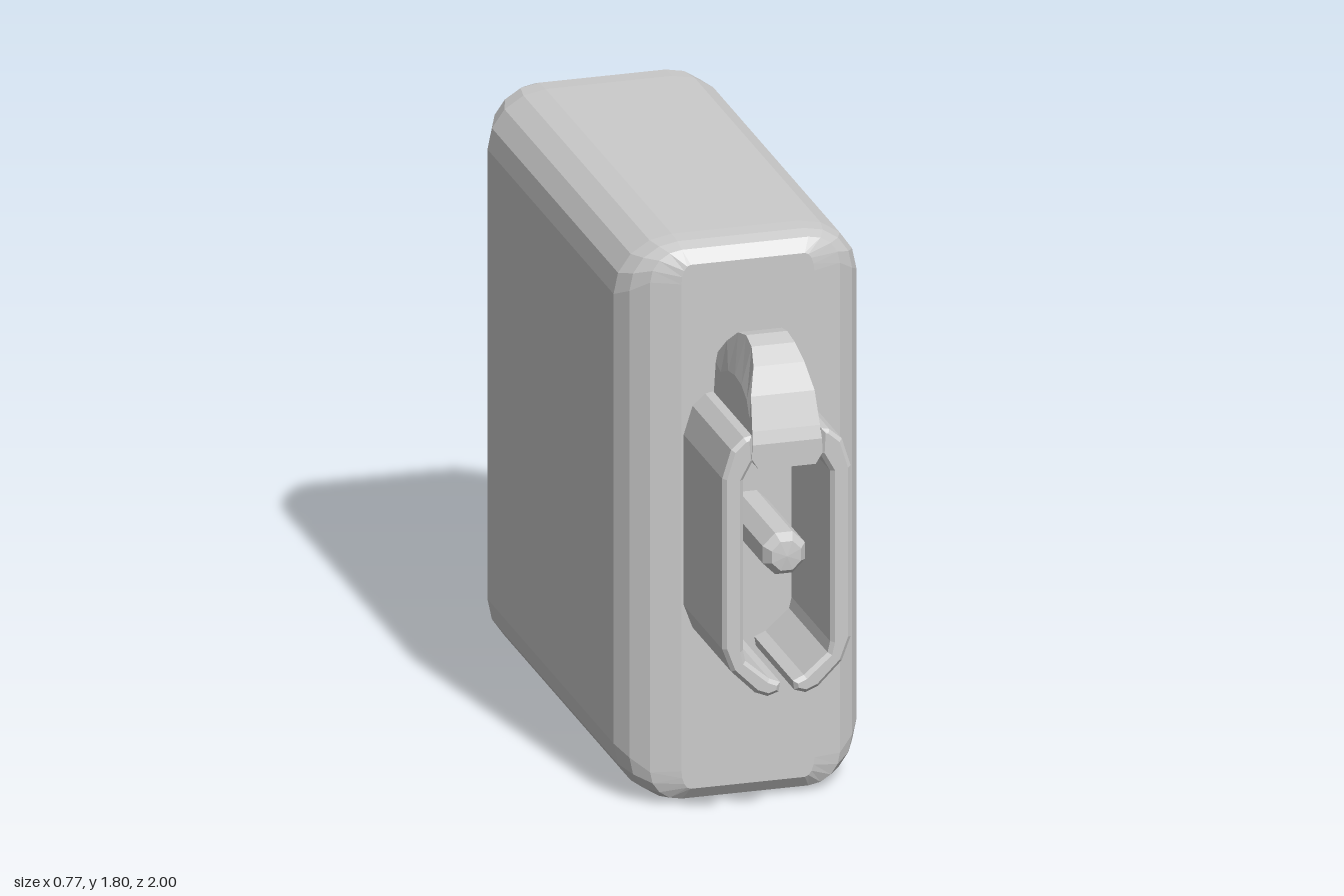
import * as THREE from 'three';

const material = new THREE.MeshStandardMaterial({ color: 0xcccccc, flatShading: true });

// Skin over counter-clockwise loops ordered from back to front, with capped ends
function loft(loops) {
  const n = loops[0].length, index = [];
  for (let i = 0; i < loops.length - 1; i++) {
    for (let j = 0; j < n; j++) {
      const k = (j + 1) % n;
      const a = i * n + j, b = i * n + k, c = b + n, d = a + n;
      index.push(a, b, c, a, c, d);
    }
  }
  const last = (loops.length - 1) * n;
  for (let j = 1; j < n - 1; j++) {
    index.push(0, j + 1, j, last, last + j, last + j + 1);
  }
  const geometry = new THREE.BufferGeometry();
  geometry.setAttribute('position', new THREE.Float32BufferAttribute(loops.flat(2), 3));
  geometry.setIndex(index);
  geometry.computeVertexNormals();
  return geometry;
}

// Rounded rectangle loop with separate corner radii across and up
function roundedLoop(hx, hy, z, rx, ry, steps = 4) {
  const loop = [];
  for (let q = 0; q < 4; q++) {
    const sx = q === 0 || q === 3 ? 1 : -1, sy = q < 2 ? 1 : -1;
    for (let s = 0; s <= steps; s++) {
      const t = (q + s / steps) * Math.PI / 2;
      loop.push([sx * (hx - rx) + rx * Math.cos(t), 0.9 + sy * (hy - ry) + ry * Math.sin(t), z]);
    }
  }
  return loop;
}

export function createModel() {
  const group = new THREE.Group();
  const add = (name, geometry) => {
    const mesh = new THREE.Mesh(geometry, material);
    mesh.name = name;
    group.add(mesh);
    return mesh;
  };

  // Main case: z, half width, half height
  const profile = [
    [-1, 0.23, 0.845], [-0.975, 0.3, 0.882], [-0.94, 0.352, 0.896], [-0.87, 0.384, 0.9],
    [0.45, 0.384, 0.9], [0.51, 0.352, 0.897], [0.555, 0.3, 0.885], [0.585, 0.21, 0.845],
  ];
  add('case', loft(profile.map(([z, hx, hy]) => {
    const rx = Math.max(hx - 0.2, 0.03);
    return roundedLoop(hx, hy, z, rx, Math.max(rx * 0.95, 0.06));
  })));

  // Pair of curved guard walls around the pin
  const bevel = 0.012;
  const outline = [
    [0.11, 1.33], [0.135, 1.325], [0.175, 1.29], [0.203, 1.2], [0.203, 0.65], [0.175, 0.575],
    [0.1, 0.5], [0.06, 0.484], [0.025, 0.495], [0.02, 0.525], [0.055, 0.54], [0.13, 0.605],
    [0.138, 0.64], [0.138, 1.19], [0.105, 1.25],
  ];
  for (const [side, name] of [[1, 'leftGuard'], [-1, 'rightGuard']]) {
    const points = outline.map(([x, y]) => new THREE.Vector2(side * x, y));
    const geometry = new THREE.ExtrudeGeometry(new THREE.Shape(points), {
      depth: 0.43 - bevel, bevelEnabled: true, bevelSize: bevel, bevelOffset: -bevel,
      bevelThickness: bevel, bevelSegments: 1,
    });
    add(name, geometry).position.z = 0.57;
  }

  // Arched latch bridging the guards: z, top height
  const arch = [
    [0.56, 1.43], [0.64, 1.51], [0.71, 1.56], [0.78, 1.575], [0.85, 1.563],
    [0.91, 1.52], [0.95, 1.44], [0.985, 1.34], [0.997, 1.3],
  ];
  const halfWidth = (y) => (y < 1.45
    ? THREE.MathUtils.mapLinear(y, 1.26, 1.45, 0.112, 0.1)
    : THREE.MathUtils.mapLinear(y, 1.45, 1.575, 0.1, 0.065));
  add('latch', loft(arch.map(([z, top]) => {
    const mid = 1.26 + (top - 1.26) * 0.6;
    const right = [[0.09, 1.22], [0.112, 1.255], [halfWidth(mid), mid], [halfWidth(top), top]];
    const left = right.map(([x, y]) => [-x, y]).reverse();
    return [...right, ...left].map(([x, y]) => [x, y, z]);
  })));

  // Centre pin with a chamfered tip
  const pin = new THREE.LatheGeometry([
    new THREE.Vector2(0.072, 0), new THREE.Vector2(0.072, 0.39),
    new THREE.Vector2(0.05, 0.42), new THREE.Vector2(0, 0.425),
  ], 8, Math.PI / 8);
  pin.rotateX(Math.PI / 2);
  add('pin', pin).position.set(0, 0.93, 0.57);

  return group;
}
